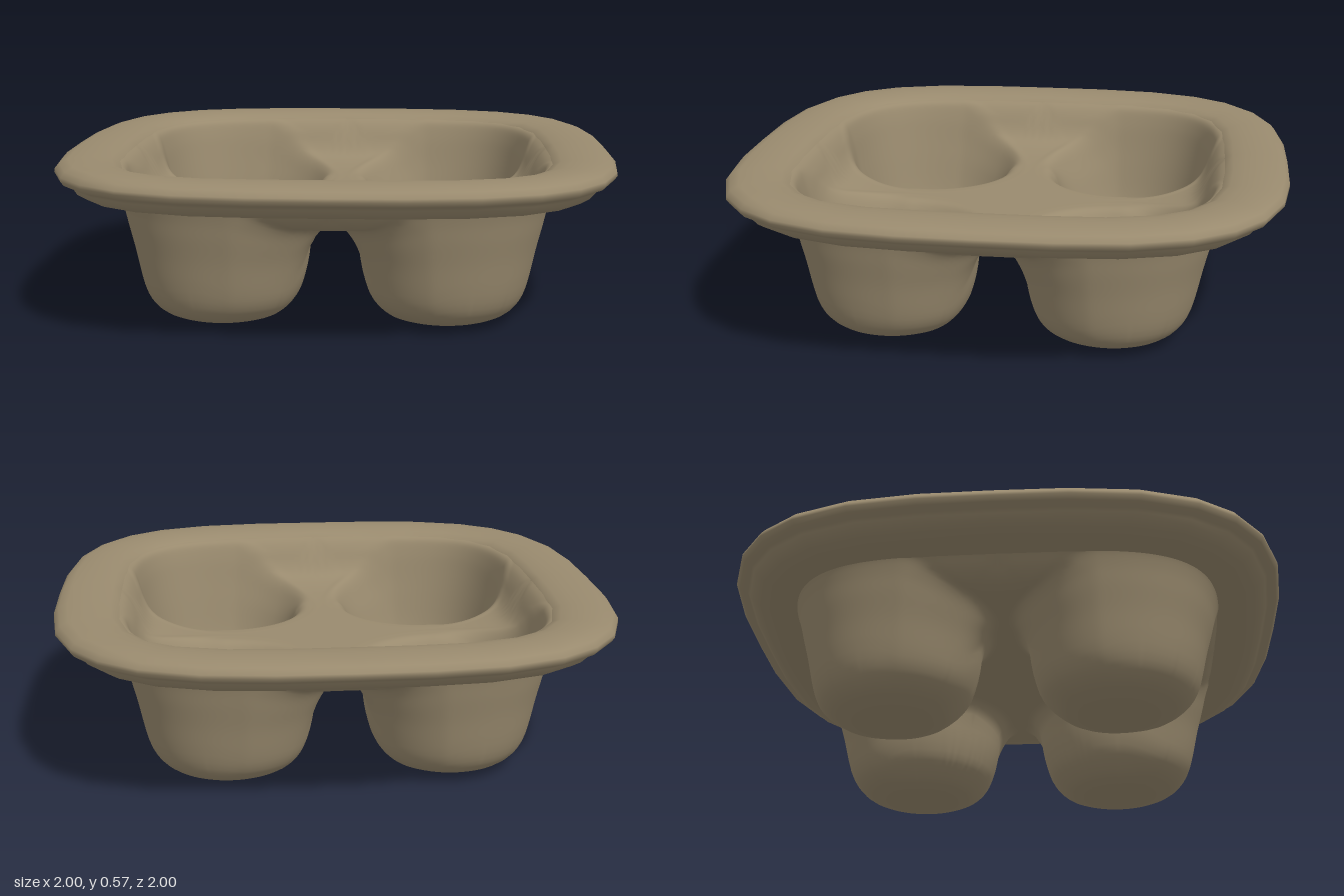
import * as THREE from 'three';
import { mergeGeometries, mergeVertices } from 'three/addons/utils/BufferGeometryUtils.js';

const CUP = 0.39;        // cup centre offset in x and z
const EDGE = 2 * CUP;    // where the tray sheets end inside the rim
const WALL = 0.03;       // thickness of the cups
const TRAY_POWER = 4;    // roundness of the tray's square outline
const RIM_POWER = 3.2;   // the rim's outer edge is rounder

// Size of the rounded-square outline passing through (x, z)
const outline = (x, z, power) => (Math.abs(x) ** power + Math.abs(z) ** power) ** (1 / power);

// Smooth curve through [x, y] points
function smooth(points) {
  const slope = points.map((p, i) => {
    const a = points[Math.max(i - 1, 0)], b = points[Math.min(i + 1, points.length - 1)];
    return (b[1] - a[1]) / (b[0] - a[0]);
  });
  slope[0] = 0;
  return (x) => {
    if (x <= points[0][0]) return points[0][1];
    let i = 0;
    while (i < points.length - 2 && x > points[i + 1][0]) i++;
    const [x0, y0] = points[i], [x1, y1] = points[i + 1];
    const w = x1 - x0, t = Math.min((x - x0) / w, 1), u = 1 - t;
    return y0 * u * u * (1 + 2 * t) + y1 * t * t * (3 - 2 * t)
      + w * t * u * (slope[i] * u - slope[i + 1] * t);
  };
}

// Floor rising to the side wall, seen from below and from inside
const underFloor = smooth([[0.3, 0.333], [0.45, 0.34], [0.6, 0.358], [0.67, 0.37], [0.71, 0.386],
  [0.745, 0.415], [0.77, 0.45], [0.79, 0.47]]);
const insideFloor = smooth([[0.3, 0.365], [0.5, 0.373], [0.62, 0.393], [0.675, 0.418], [0.703, 0.455],
  [0.725, 0.5], [0.75, 0.535], [0.785, 0.558]]);
// Cup shape as a fraction of that height: steep between cups, flaring into the side wall
const innerCup = smooth([[0, 0], [0.12, 0.01], [0.18, 0.06], [0.22, 0.14], [0.27, 0.32], [0.297, 0.6],
  [0.306, 0.8], [0.325, 0.92], [0.35, 0.985], [0.39, 1], [0.42, 1]]);
const outerCup = smooth([[0, 0], [0.12, 0.01], [0.18, 0.05], [0.23, 0.11], [0.27, 0.21], [0.29, 0.31],
  [0.303, 0.42], [0.326, 0.65], [0.35, 0.83], [0.365, 0.93], [0.385, 1], [0.42, 1]]);

// Grid of quads from point(row, column), each cut along its shorter diagonal
function grid(rows, cols, point, flip) {
  const points = [], index = [];
  for (let i = 0; i <= rows; i++) {
    for (let j = 0; j <= cols; j++) points.push(new THREE.Vector3(...point(i, j)));
  }
  for (let i = 0; i < rows; i++) {
    for (let j = 0; j < cols; j++) {
      const a = i * (cols + 1) + j, d = a + cols + 2;
      const [b, c] = flip ? [d - 1, a + 1] : [a + 1, d - 1];
      if (points[a].distanceTo(points[d]) < points[b].distanceTo(points[c])) index.push(a, c, d, a, d, b);
      else index.push(a, c, b, b, c, d);
    }
  }
  return new THREE.BufferGeometry().setFromPoints(points).setIndex(index);
}

function weld(g) {
  const welded = mergeVertices(g, 1e-4);
  welded.computeVertexNormals();
  return welded;
}

// Distance from the cup centre to the border of its quarter of the tray
function reach(dx, dz) {
  let lo = 0.3, hi = 0.8;
  for (let k = 0; k < 40; k++) {
    const r = (lo + hi) / 2, x = CUP + dx * r, z = CUP + dz * r;
    if (x >= 0 && z >= 0 && outline(x, z, TRAY_POWER) <= EDGE) lo = r;
    else hi = r;
  }
  return lo;
}

// One sheet of the tray: four mirrored quarters, ringed around their cups
function traySheet(floor, thickness, inside) {
  const RADII = [0, 0.06, 0.12, 0.15, 0.18, 0.2, 0.22, 0.24, 0.255, 0.265, 0.275, 0.285, 0.293, 0.3];
  const OUT = 22, COLS = 128;
  const quarters = [];
  for (const sx of [1, -1]) {
    for (const sz of [1, -1]) {
      quarters.push(grid(RADII.length - 1 + OUT, COLS, (i, j) => {
        const a = ((j % COLS) / COLS) * Math.PI * 2, dx = Math.cos(a), dz = Math.sin(a);
        const k = i - RADII.length + 1, end = reach(dx, dz);
        const r = k <= 0 ? RADII[i] : 0.3 + (end - 0.3) * (k / OUT);
        const x = CUP + dx * r, z = CUP + dz * r;
        const d = r + thickness * Math.min(r / 0.2, 1);
        // the flare is squeezed where the tray corner comes close to the cup
        const squeeze = 0.16 / (Math.min(end, 0.39) - 0.23);
        const flared = d < 0.23 ? d : 0.23 + (d - 0.23) * squeeze;
        const outward = THREE.MathUtils.smoothstep(Math.max(dx, dz), 0, 0.7);
        const cup = THREE.MathUtils.lerp(innerCup(d), outerCup(flared), outward);
        const top = floor(outline(x, z, TRAY_POWER));
        return [sx * x, THREE.MathUtils.lerp(thickness, top, cup), sz * z];
      }, (sx * sz > 0) === inside));
    }
  }
  return weld(mergeGeometries(quarters));
}

// Rolled rim: profile of [outline size, height], swept round the rounded square
function rimGeometry() {
  const profile = [[0.76, 0.53], [0.772, 0.552], [0.8, 0.564], [0.84, 0.572], [0.89, 0.575], [0.95, 0.572],
    [0.982, 0.56], [0.998, 0.542], [1, 0.53], [0.987, 0.514], [0.958, 0.505], [0.948, 0.495],
    [0.936, 0.478], [0.905, 0.46], [0.86, 0.451], [0.81, 0.447], [0.76, 0.448]];
  const SIDE = 8;
  return weld(grid(profile.length - 1, SIDE * 4, (i, j) => {
    const side = Math.floor(j / SIDE) % 4, u = ((j % SIDE) / SIDE) * 2 - 1;
    const [dx, dz] = [[1, u], [-u, 1], [-1, -u], [u, -1]][side];
    const [size, y] = profile[i];
    const power = THREE.MathUtils.mapLinear(size, 0.76, 1, TRAY_POWER, RIM_POWER);
    const k = size / outline(dx, dz, power);
    return [dx * k, y, dz * k];
  }, true));
}

export function createModel() {
  const pulp = new THREE.MeshStandardMaterial({ color: 0x998a6e });
  pulp.name = 'moulded pulp';
  const model = new THREE.Group();
  model.name = 'cupCarrier';
  const add = (name, geometry) => {
    const mesh = new THREE.Mesh(geometry, pulp);
    mesh.name = name;
    model.add(mesh);
  };
  add('trayUnderside', traySheet(underFloor, 0, false));
  add('trayInside', traySheet(insideFloor, WALL, true));
  add('rim', rimGeometry());
  return model;
}
